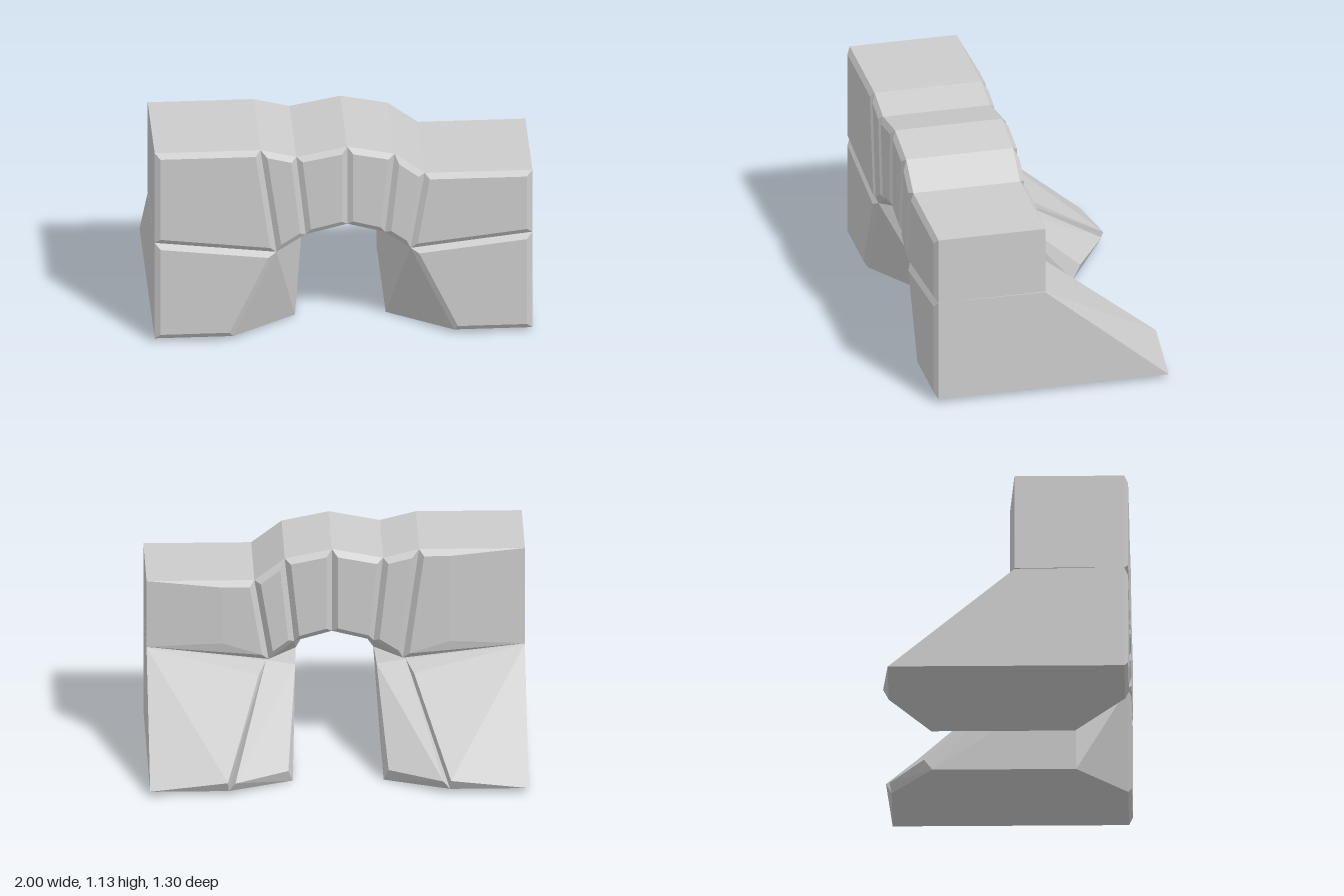
import * as THREE from 'three';
import { ConvexGeometry } from 'three/addons/geometries/ConvexGeometry.js';

const FRONT = 0.63, BACK = 0.05, FACE = 0.02;
const material = new THREE.MeshStandardMaterial({ color: 0xcccccc, flatShading: true });

const at = (outline, z) => outline.map(([x, y]) => new THREE.Vector3(x, y, z));
const points = (list) => list.map((p) => new THREE.Vector3(...p));

// Moves every edge of a clockwise outline inward by d.
function inset(outline, d) {
  const n = outline.length;
  return outline.map((p, i) => {
    const a = outline[(i + n - 1) % n], b = outline[(i + 1) % n];
    const u = new THREE.Vector2(p[0] - a[0], p[1] - a[1]).normalize();
    const v = new THREE.Vector2(b[0] - p[0], b[1] - p[1]).normalize();
    const n1 = [u.y, -u.x], n2 = [v.y, -v.x];
    const k = d / (1 + n1[0] * n2[0] + n1[1] * n2[1]);
    return [p[0] + (n1[0] + n2[0]) * k, p[1] + (n1[1] + n2[1]) * k];
  });
}

function block(group, name, pts) {
  const mesh = new THREE.Mesh(new ConvexGeometry(pts), material);
  mesh.name = name;
  group.add(mesh);
}

// Stone with chamfered front and back; belly points shape the underside of the arch.
function stone(group, name, outline, belly = []) {
  const face = inset(outline, 0.03);
  const rear = face.map(([x, y]) => [THREE.MathUtils.clamp(x, -0.6, 0.6), y]);
  block(group, name, [
    ...at(face, FRONT + FACE), ...at(outline, FRONT),
    ...at(outline, BACK), ...at(rear, BACK - 0.03),
    ...at(belly, 0.36), ...at(belly, 0.28),
  ]);
}

export function createModel() {
  const group = new THREE.Group();
  group.name = 'stoneArch';

  // Upper walls and arch stones between the joints, from right to left
  const top = [[-1, 1.13], [-0.44, 1.13], [-0.25, 1.083], [0.02, 1.135], [0.27, 1.085], [0.43, 0.965], [1, 0.965]];
  const low = [[-1, 0.595], [-0.355, 0.52], [-0.2, 0.62], [0.02, 0.675], [0.22, 0.62], [0.355, 0.52], [1, 0.595]];
  const belly = [null, [-0.205, 0.5], [-0.13, 0.605], [0.02, 0.655], [0.145, 0.605], [0.205, 0.5], null];
  for (let i = 0; i < 6; i++) {
    const wall = i === 0 || i === 5;
    stone(group, wall ? 'upperWall' : 'archStone', [top[i], top[i + 1], low[i + 1], low[i]],
      wall ? [] : [belly[i], belly[i + 1]]);
  }

  // Piers: buttress with sloping back, and a jamb flaring at both ends of the opening
  for (const s of [-1, 1]) {
    const mirror = (list) => points(list.map(([x, y, z]) => [x * s, y, z]));
    const outline = [[0.355, 0.52], [1, 0.595], [1, 0.025], [0.585, 0.025]];
    const face = inset(outline, 0.03).map(([x, y]) => [x, y, FRONT + FACE]);
    block(group, 'buttress', mirror([
      ...face, ...outline.map(([x, y]) => [x, y, FRONT]),
      [1, 0.59, 0.05], [0.37, 0.52, 0.03], [1, 0.025, -0.62], [0.585, 0.025, -0.62],
      [0.59, 0.08, -0.65], [0.41, 0.48, -0.08],
    ]));
    block(group, 'jamb', mirror([
      [0.585, 0.025, 0.63], [0.355, 0.52, 0.63], [0.24, 0, 0.36], [0.205, 0.5, 0.36],
      [0.585, 0.025, -0.62], [0.37, 0.52, 0.03], [0.24, 0, -0.4], [0.215, 0.5, 0.02],
      [0.55, 0.07, -0.63], [0.265, 0.07, -0.445], [0.28, 0.47, -0.02],
    ]));
  }
  return group;
}
